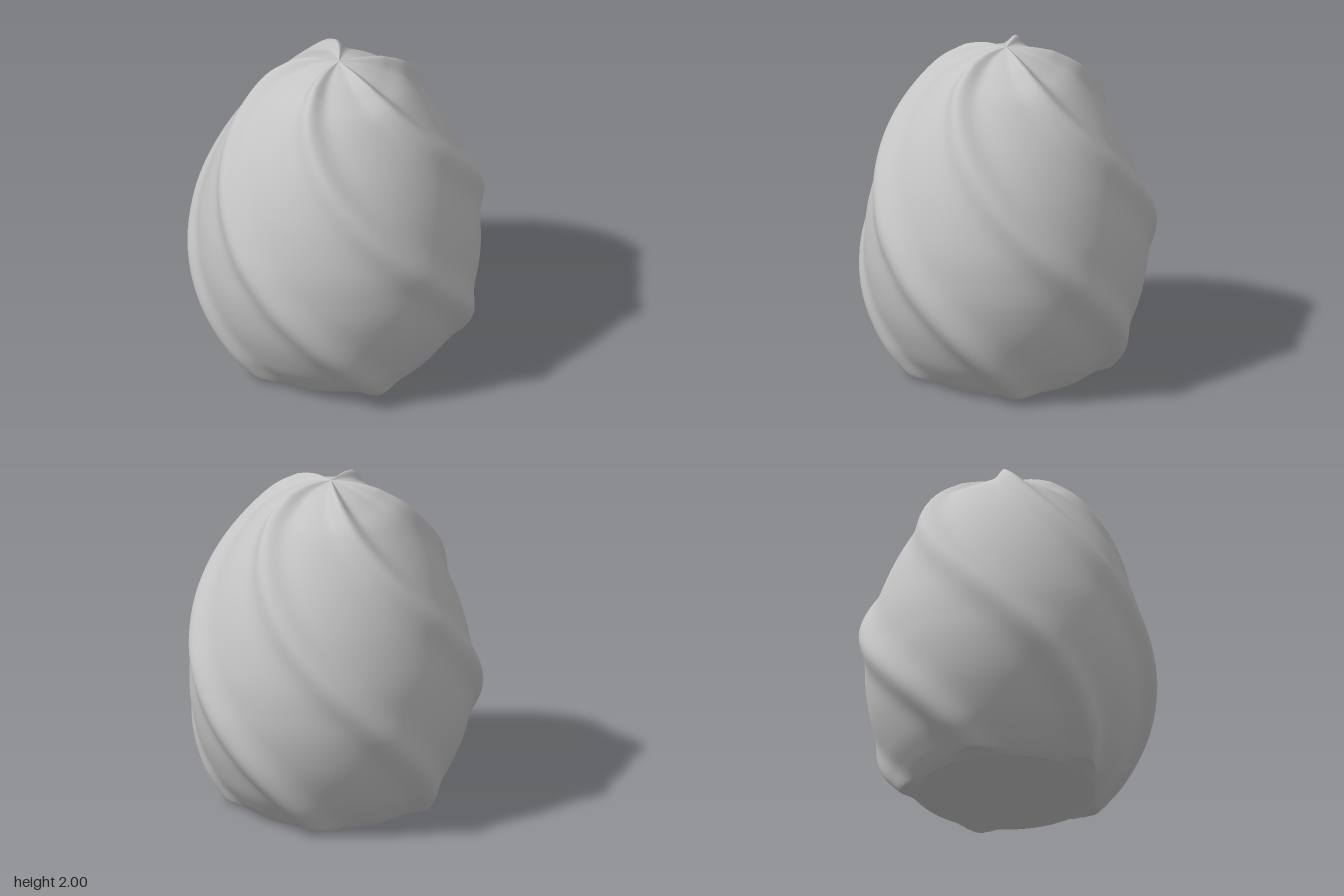
import * as THREE from 'three';

const RIDGES = 5;
const RIDGE_HEIGHT = 0.059;
const COLUMNS = 240;
const ROWS = 140;
const AXIS = new THREE.Vector3(0.017, 0, 0.019); // the odd ridge count puts the axis off centre
const DEG = Math.PI / 180;

// Egg silhouette, from the cut base up to the tip: [radius, height]
const profile = new THREE.SplineCurve([
  [0.52, 0], [0.56, 0.03], [0.62, 0.1], [0.7, 0.22], [0.783, 0.42], [0.825, 0.62], [0.832, 0.8],
  [0.808, 1.02], [0.725, 1.3], [0.595, 1.56], [0.42, 1.79], [0.28, 1.893], [0.14, 1.965], [0, 2],
].map(([r, y]) => new THREE.Vector2(r, y)));

// Angle of the first ridge, measured from the front, at a height
const twist = (y) => (1.42 - y) * 68 * DEG;

// Rounded narrow ridge from 0 to 1, repeated evenly around the egg
function ridge(u) {
  const step = (2 * Math.PI) / RIDGES;
  const d = u - Math.round(u / step) * step;
  return Math.exp(-0.5 * (d / (7 * DEG)) ** 2);
}

// Point of the twisted surface, raised along the profile's normal at the ridges
function surfacePoint(t, column) {
  const p = profile.getPointAt(t);
  const tangent = profile.getTangentAt(t);
  const u = (column / COLUMNS) * 2 * Math.PI;
  const fade = Math.min(1, p.x / 0.25) * Math.min(1, p.y / 0.02);
  const lift = RIDGE_HEIGHT * fade * ridge(u);
  const r = p.x + lift * tangent.y;
  const y = Math.max(p.y - lift * tangent.x, Math.min(p.y, 0.02));
  const phi = u + twist(p.y);
  return [AXIS.x + r * Math.sin(phi), y, AXIS.z + r * Math.cos(phi)];
}

function makeGeometry(positions, index) {
  const geometry = new THREE.BufferGeometry();
  geometry.setAttribute('position', new THREE.Float32BufferAttribute(positions, 3));
  geometry.setIndex(index);
  geometry.computeVertexNormals();
  return geometry;
}

// Shell whose columns follow the spiral ridges
function shellGeometry() {
  const positions = [];
  const index = [];
  for (let row = 0; row <= ROWS; row++) {
    for (let c = 0; c < COLUMNS; c++) {
      positions.push(...surfacePoint(row / ROWS, c));
      if (row === ROWS) continue;
      const a = row * COLUMNS + c;
      const b = row * COLUMNS + ((c + 1) % COLUMNS);
      index.push(a, b, b + COLUMNS);
      if (row < ROWS - 1) index.push(a, b + COLUMNS, a + COLUMNS);
    }
  }
  return makeGeometry(positions, index);
}

// Flat round underside
function baseGeometry() {
  const positions = AXIS.toArray();
  const index = [];
  for (let c = 0; c < COLUMNS; c++) {
    positions.push(...surfacePoint(0, c));
    index.push(0, 1 + ((c + 1) % COLUMNS), 1 + c);
  }
  return makeGeometry(positions, index);
}

export function createModel() {
  const grey = new THREE.MeshStandardMaterial({ color: 0xc4c4c4 });
  grey.name = 'grey';

  const shell = new THREE.Mesh(shellGeometry(), grey);
  shell.name = 'spiralShell';

  const base = new THREE.Mesh(baseGeometry(), grey);
  base.name = 'flatBase';

  const model = new THREE.Group();
  model.name = 'spiralEgg';
  model.add(shell, base);
  return model;
}
